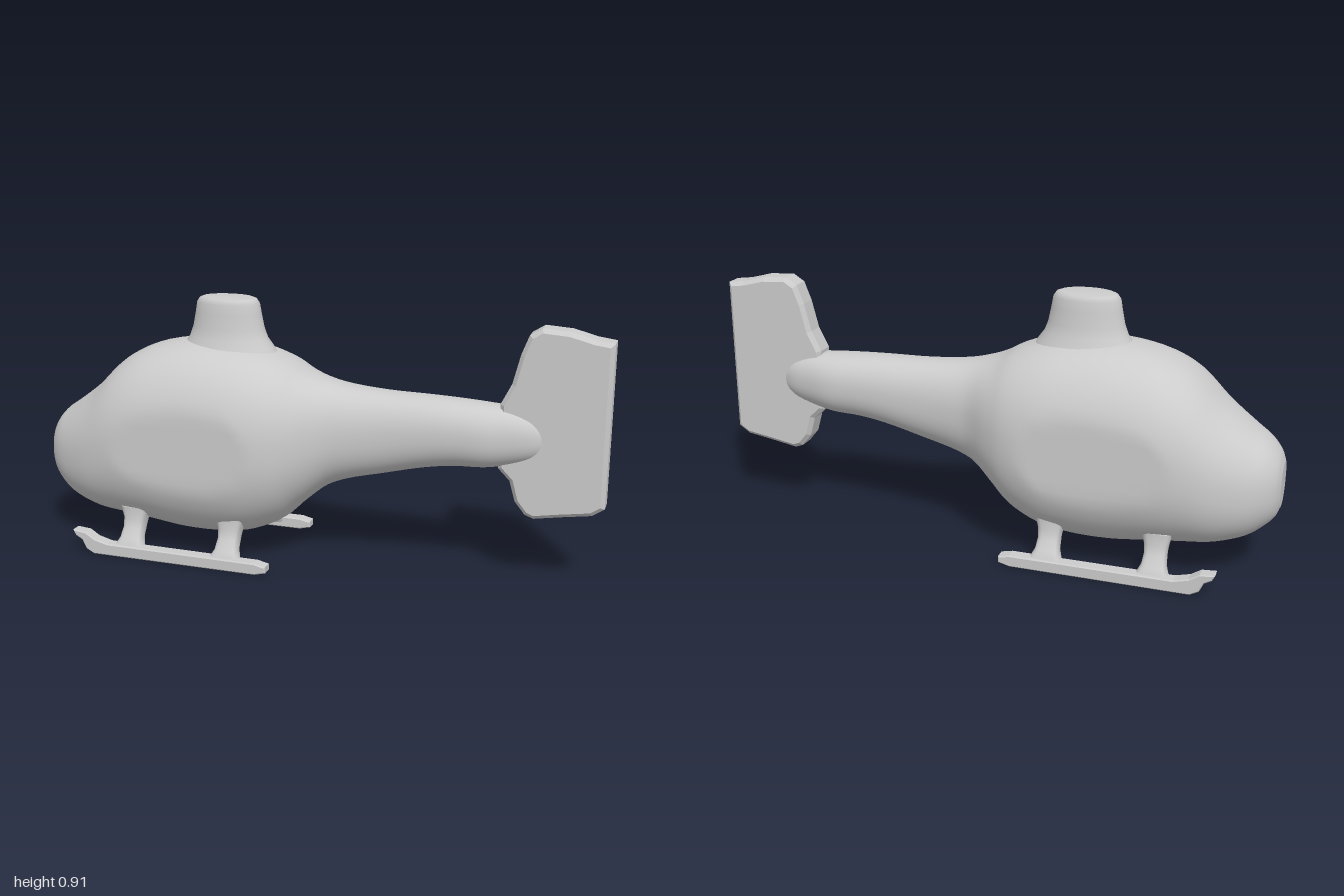
import * as THREE from 'three';

const material = new THREE.MeshStandardMaterial({ color: 0xcccccc });

// Skin a list of closed rings (each counter-clockwise about the travel direction) and cap both ends.
function loft(rings) {
  const n = rings[0].length, pos = [], index = [];
  rings.forEach(r => r.forEach(p => pos.push(p.x, p.y, p.z)));
  for (let i = 0; i < rings.length - 1; i++) {
    for (let j = 0; j < n; j++) {
      const k = (j + 1) % n, a = i * n + j, b = i * n + k;
      index.push(a, b, b + n, a, b + n, a + n);
    }
  }
  [0, rings.length - 1].forEach(i => {
    const c = new THREE.Vector3();
    rings[i].forEach(p => c.addScaledVector(p, 1 / n));
    const base = pos.length / 3;
    rings[i].forEach(p => pos.push(p.x, p.y, p.z));
    pos.push(c.x, c.y, c.z);
    for (let j = 0; j < n; j++) {
      const k = (j + 1) % n;
      if (i === 0) index.push(base + n, base + k, base + j);
      else index.push(base + n, base + j, base + k);
    }
  });
  const g = new THREE.BufferGeometry();
  g.setAttribute('position', new THREE.Float32BufferAttribute(pos, 3));
  g.setIndex(index);
  g.computeVertexNormals();
  return g;
}

const power = (v, e) => Math.sign(v) * Math.abs(v) ** e;

function addMesh(group, name, geometry) {
  const mesh = new THREE.Mesh(geometry, material);
  mesh.name = name;
  group.add(mesh);
  return mesh;
}

// Cabin and tail boom: [x, bottom, top, half width]
function fuselageGeometry() {
  const stations = [
    [-1, 0.25, 0.4, 0.07], [-0.985, 0.215, 0.435, 0.105], [-0.95, 0.18, 0.475, 0.145],
    [-0.9, 0.145, 0.51, 0.18], [-0.8, 0.112, 0.585, 0.228], [-0.7, 0.1, 0.68, 0.258],
    [-0.6, 0.09, 0.732, 0.274], [-0.45, 0.072, 0.762, 0.28], [-0.3, 0.075, 0.76, 0.28],
    [-0.2, 0.095, 0.745, 0.272], [-0.1, 0.145, 0.712, 0.245], [-0.03, 0.21, 0.675, 0.205],
    [0.05, 0.275, 0.65, 0.15], [0.12, 0.305, 0.637, 0.13], [0.25, 0.338, 0.626, 0.112],
    [0.4, 0.375, 0.622, 0.106], [0.5, 0.39, 0.618, 0.104], [0.6, 0.395, 0.612, 0.1],
    [0.68, 0.41, 0.605, 0.082], [0.75, 0.43, 0.585, 0.062], [0.79, 0.45, 0.56, 0.042],
  ];
  const path = new THREE.CatmullRomCurve3(stations.map(s => new THREE.Vector3(s[0], s[1], s[2])), false, 'centripetal');
  const width = new THREE.CatmullRomCurve3(stations.map(s => new THREE.Vector3(s[0], s[3], 0)), false, 'centripetal');
  const rings = [];
  const steps = (stations.length - 1) * 4, sides = 64;
  for (let i = 0; i <= steps; i++) {
    const p = path.getPoint(i / steps), w = width.getPoint(i / steps).y;
    const ring = [];
    for (let j = 0; j < sides; j++) {
      const a = j / sides * Math.PI * 2;
      const y = (p.y + p.z) / 2 + (p.z - p.y) / 2 * power(Math.cos(a), 0.88);
      // flat side panels where the cabin is widest
      const z = THREE.MathUtils.clamp(w * power(Math.sin(a), 0.88), -0.265, 0.265);
      ring.push(new THREE.Vector3(p.x, y, z));
    }
    rings.push(ring);
  }
  return loft(rings);
}

// Rotor mast stub: oval, flared at the foot
function mastGeometry() {
  const profile = [
    [0.19, 0.7], [0.165, 0.745], [0.143, 0.775], [0.13, 0.81], [0.12, 0.86],
    [0.114, 0.895], [0.104, 0.91], [0.09, 0.915], [0, 0.916],
  ].map(p => new THREE.Vector2(p[0], p[1]));
  const g = new THREE.LatheGeometry(profile, 32);
  g.scale(1, 1, 0.62);
  g.translate(-0.322, 0, 0);
  return g;
}

// Outline in x and y, extruded evenly to both sides of z = 0
function plate(points, thickness, bevel) {
  const shape = new THREE.Shape(points.map(p => new THREE.Vector2(p[0], p[1])));
  const g = new THREE.ExtrudeGeometry(shape, {
    depth: thickness - 2 * bevel, bevelEnabled: true, bevelThickness: bevel,
    bevelSize: bevel, bevelOffset: -bevel, bevelSegments: 1,
  });
  g.translate(0, 0, -thickness / 2 + bevel);
  return g;
}

// Landing strut: [y, z, half length in x, half width in z]
function strutGeometry(x, side) {
  const sections = [
    [0.015, 0.234, 0.075, 0.02], [0.04, 0.226, 0.055, 0.024], [0.065, 0.205, 0.042, 0.028],
    [0.1, 0.178, 0.038, 0.035], [0.13, 0.165, 0.042, 0.036], [0.172, 0.168, 0.052, 0.032],
  ];
  return loft(sections.map(([y, z, hx, hz]) => {
    const ring = [];
    for (let j = 0; j < 16; j++) {
      const a = j / 16 * Math.PI * 2;
      ring.push(new THREE.Vector3(x + hx * power(Math.sin(a), 0.6), y, side * z + hz * power(Math.cos(a), 0.6)));
    }
    return ring;
  }));
}

export function createModel() {
  const model = new THREE.Group();
  model.name = 'helicopter';

  addMesh(model, 'fuselage', fuselageGeometry());
  addMesh(model, 'rotorMast', mastGeometry());

  // Tail fin
  addMesh(model, 'tailFin', plate([
    [1, 0.295], [1, 0.845], [0.94, 0.853], [0.86, 0.874], [0.77, 0.88], [0.73, 0.855],
    [0.705, 0.79], [0.68, 0.69], [0.645, 0.62], [0.645, 0.4], [0.685, 0.36],
    [0.705, 0.29], [0.74, 0.247], [0.77, 0.236], [0.86, 0.252], [0.96, 0.268],
  ], 0.088, 0.014));

  // Skids with upturned front tips, each on two struts
  const skidOutline = [
    [-0.1, 0.012], [-0.1, 0.034], [-0.14, 0.043], [-0.7, 0.045], [-0.75, 0.058],
    [-0.785, 0.08], [-0.835, 0.084], [-0.825, 0.064], [-0.8, 0.05], [-0.785, 0.018], [-0.755, 0.002], [-0.14, 0.002],
  ].reverse();
  for (const side of [1, -1]) {
    const gear = new THREE.Group();
    gear.name = side > 0 ? 'landingGearLeft' : 'landingGearRight';
    addMesh(gear, 'skid', plate(skidOutline, 0.046, 0.004)).position.z = side * 0.236;
    addMesh(gear, 'frontStrut', strutGeometry(-0.625, side));
    addMesh(gear, 'rearStrut', strutGeometry(-0.26, side));
    model.add(gear);
  }
  return model;
}
